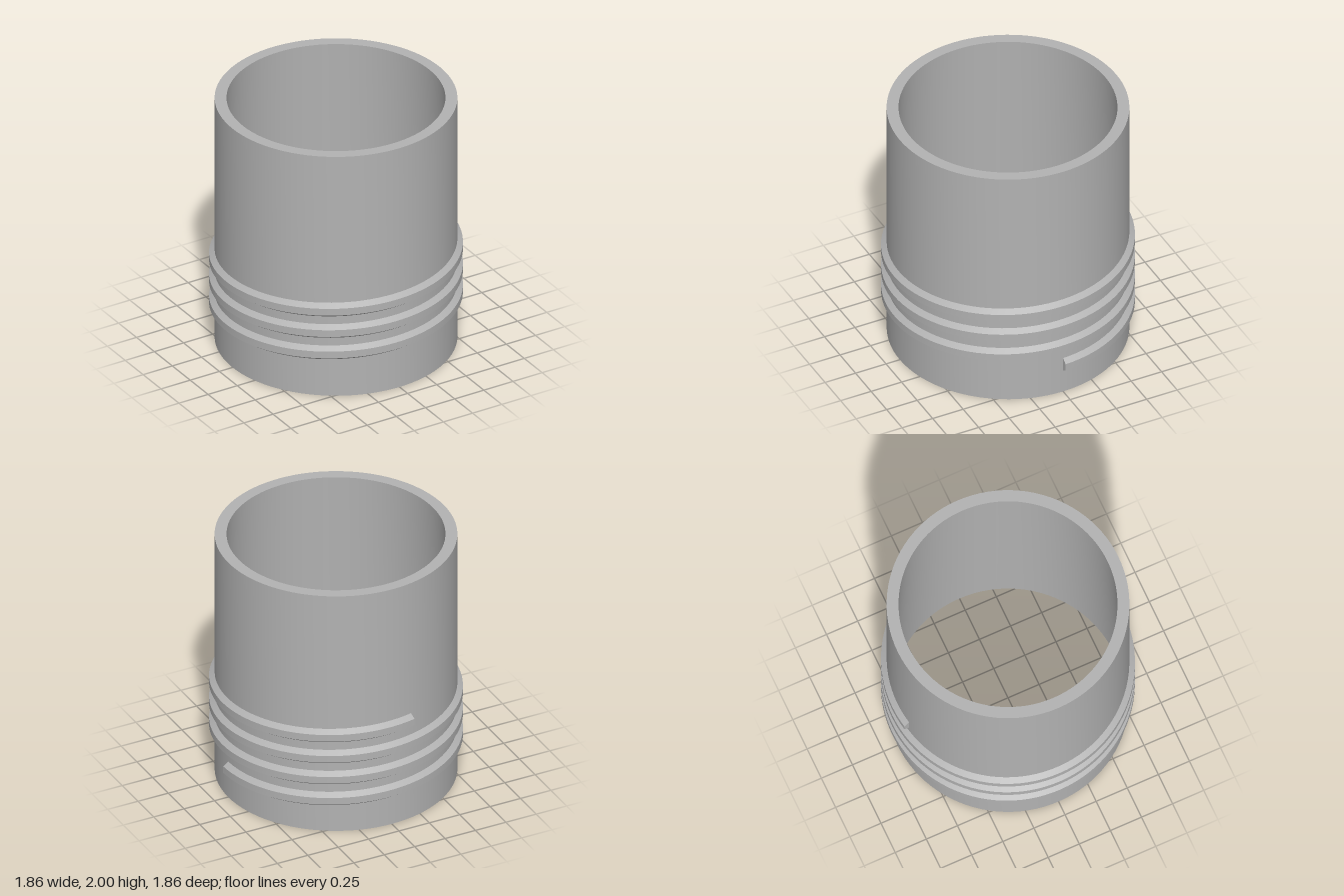
import * as THREE from 'three';
import { toCreasedNormals } from 'three/addons/utils/BufferGeometryUtils.js';

const SIDES = 96;
const OUTER = 0.887; // sleeve outer radius

// Hollow sleeve: the bore narrows slightly towards the top
function sleeveGeometry() {
  const profile = [
    [OUTER, 0], [OUTER, 2], [0.8, 2], [0.85, 0], [OUTER, 0],
  ].map(([r, y]) => new THREE.Vector2(r, y));
  return toCreasedNormals(new THREE.LatheGeometry(profile, SIDES), 0.5);
}

// Chamfered section swept along a helix, with flat end caps
function threadGeometry(startY, pitch, turns) {
  const section = [[0.88, -0.062], [0.928, -0.028], [0.928, 0.028], [0.88, 0.062]];
  const steps = Math.round(turns * SIDES);
  const positions = [], index = [];
  for (let i = 0; i <= steps; i++) {
    const turn = (i / steps) * turns;
    const angle = turn * Math.PI * 2;
    for (const [r, dy] of section) {
      positions.push(r * Math.cos(angle), startY + pitch * turn + dy, -r * Math.sin(angle));
    }
    if (i === steps) break;
    for (let j = 0; j < 3; j++) {
      const a = i * 4 + j, b = a + 4;
      index.push(a, b, b + 1, a, b + 1, a + 1);
    }
  }
  const e = steps * 4;
  index.push(0, 1, 2, 0, 2, 3, e, e + 2, e + 1, e, e + 3, e + 2);
  const geometry = new THREE.BufferGeometry();
  geometry.setAttribute('position', new THREE.Float32BufferAttribute(positions, 3));
  geometry.setIndex(index);
  return toCreasedNormals(geometry, 0.5);
}

export function createModel() {
  const group = new THREE.Group();
  group.name = 'threadedSleeve';
  const grey = new THREE.MeshStandardMaterial({ color: 0xb2b2b2 });
  grey.name = 'grey';

  const sleeve = new THREE.Mesh(sleeveGeometry(), grey);
  sleeve.name = 'sleeve';
  const thread = new THREE.Mesh(threadGeometry(0.246, 0.179, 3.28), grey);
  thread.name = 'screwThread';
  group.add(sleeve, thread);
  return group;
}
